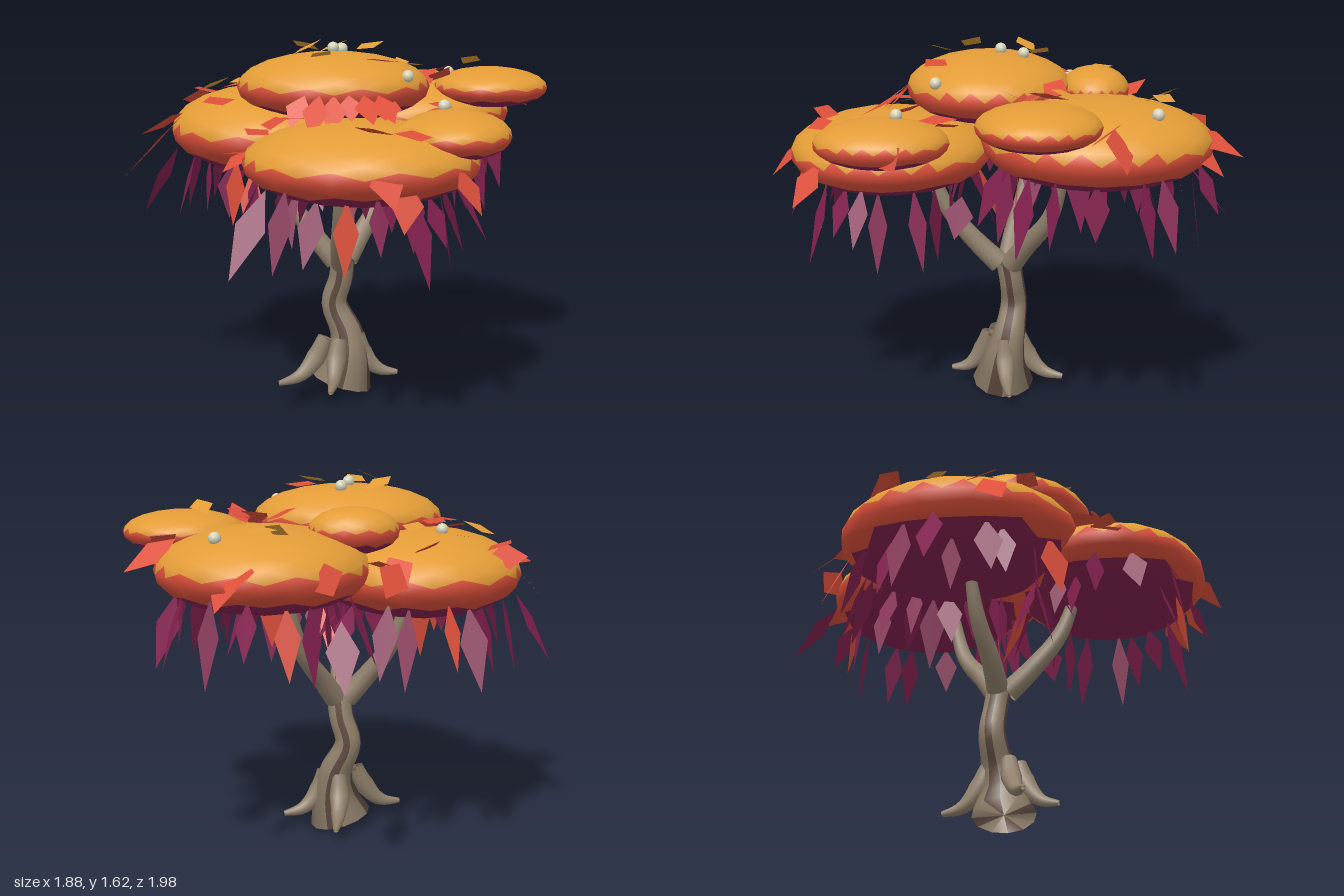
import * as THREE from 'three';

const mat = (name, color, side = THREE.FrontSide) => {
  const m = new THREE.MeshStandardMaterial({ color, side });
  m.name = name;
  return m;
};

// Small seeded random generator
let seed = 7;
const rnd = () => (seed = (seed * 16807) % 2147483647) / 2147483647;
const span = (a, b) => a + (b - a) * rnd();
const V = (x, y, z) => new THREE.Vector3(x, y, z);

// Foliage clumps: name, centre, radii
const clumps = [
  ['crownClump', [-0.03, 1.41, 0.06], [0.42, 0.15, 0.36]],
  ['leftClump', [-0.31, 1.2, -0.16], [0.45, 0.19, 0.53]],
  ['frontClump', [0.08, 1.15, 0.48], [0.49, 0.17, 0.44]],
  ['frontSideClump', [0.46, 1.26, 0.48], [0.23, 0.1, 0.28]],
  ['backClump', [0.35, 1.25, -0.4], [0.45, 0.18, 0.48]],
  ['sideClump', [0.68, 1.38, -0.16], [0.26, 0.09, 0.25]],
  ['smallBackClump', [-0.02, 1.4, -0.4], [0.19, 0.1, 0.15]],
].map(([name, c, r]) => ({ name, c: V(...c), r: V(...r) }));

// Height of the canopy top at x, z
function topAt(x, z) {
  let y = 1.15;
  for (const { c, r } of clumps) {
    const k = 1 - ((x - c.x) / r.x) ** 2 - ((z - c.z) / r.z) ** 2;
    if (k > 0) y = Math.max(y, c.y + r.y * Math.sqrt(k));
  }
  return y;
}

// Unit ball whose faces are sorted into three colour bands by height
function bandedBall() {
  const geo = new THREE.IcosahedronGeometry(1, 3);
  const p = geo.attributes.position;
  const bands = [[], [], []];
  for (let i = 0; i < p.count; i += 3) {
    const y = (p.getY(i) + p.getY(i + 1) + p.getY(i + 2)) / 3;
    bands[y > 0.12 ? 0 : y > -0.52 ? 1 : 2].push(i, i + 1, i + 2);
  }
  geo.setIndex(bands.flat());
  let start = 0;
  bands.forEach((b, k) => {
    geo.addGroup(start, b.length, k);
    start += b.length;
  });
  return geo;
}

// Tapered tube with closed ends; radii are spread evenly along the path
function limb(points, radii, segs = 14, sides = 10) {
  const curve = new THREE.CatmullRomCurve3(points.map((p) => V(...p)));
  const geo = new THREE.TubeGeometry(curve, segs, 1, sides);
  const pos = geo.attributes.position;
  const nor = geo.attributes.normal;
  for (let i = 0; i <= segs; i++) {
    const end = i === 0 || i === segs;
    const u = Math.min(Math.max(i, 1), segs - 1);
    const t = ((u - 1) / (segs - 2)) * (radii.length - 1);
    const k = Math.min(Math.floor(t), radii.length - 2);
    const r = end ? 0.0005 : THREE.MathUtils.lerp(radii[k], radii[k + 1], t - k);
    const c = curve.getPointAt(u / segs);
    for (let j = 0; j <= sides; j++) {
      const n = i * (sides + 1) + j;
      pos.setXYZ(n, c.x + nor.getX(n) * r, c.y + nor.getY(n) * r, c.z + nor.getZ(n) * r);
    }
  }
  return geo;
}

export function createModel() {
  const group = new THREE.Group();
  const gold = mat('gold foliage', 0xe39c37);
  const red = mat('red foliage', 0xdc4f3a);
  const plum = mat('plum foliage', 0x84214f);
  const bark = mat('bark', 0x91816c);
  const darkBark = mat('dark bark', 0x604b40);
  const cream = mat('cream berry', 0xd6d3b8);
  const add = (name, geo, material) => {
    const mesh = new THREE.Mesh(geo, material);
    mesh.name = name;
    group.add(mesh);
    return mesh;
  };

  // Trunk with four dark stripes
  const sides = 12;
  const trunk = limb(
    [[0.0, 0.01, 0], [0.035, 0.15, -0.01], [0.03, 0.26, -0.03], [-0.025, 0.4, -0.05], [0.005, 0.52, -0.04], [0.015, 0.64, -0.02]],
    [0.14, 0.105, 0.08, 0.065, 0.058, 0.055, 0.055], 24, sides);
  const index = Array.from(trunk.index.array);
  const plain = [], stripe = [];
  for (let q = 0; q < index.length; q += 6) {
    (((q / 6) % sides) % 3 === 0 ? stripe : plain).push(...index.slice(q, q + 6));
  }
  trunk.setIndex([...plain, ...stripe]);
  trunk.addGroup(0, plain.length, 0);
  trunk.addGroup(plain.length, stripe.length, 1);
  add('trunk', trunk, [bark, darkBark]);

  // Branches
  for (const [x, y, z] of [[-0.29, 1.1, -0.12], [0.26, 1.15, -0.28], [0, 1.1, 0.34]]) {
    add('branch', limb(
      [[0.01, 0.57, -0.02], [x * 0.35, 0.7, z * 0.35], [x * 0.75, 0.87, z * 0.75], [x, y, z]],
      [0.05, 0.042, 0.035, 0.025]), bark);
  }

  // Roots
  for (const [x, z] of [[0.29, -0.04], [-0.05, 0.26], [-0.3, 0.12], [0.05, -0.3]]) {
    add('root', limb(
      [[x * 0.22 + 0.01, 0.28, z * 0.22], [x * 0.38, 0.16, z * 0.38], [x * 0.62, 0.085, z * 0.62], [x, 0.06, z]],
      [0.035, 0.045, 0.03, 0.012]), bark);
  }

  // Foliage clumps
  const ball = bandedBall();
  for (const { name, c, r } of clumps) {
    const mesh = add(name, ball, [gold, red, plum]);
    mesh.position.copy(c);
    mesh.scale.copy(r);
  }

  // Leaves: flat kites collected per colour
  const kites = { gold: [], red: [], plum: [] };
  function leaf(colour, base, tip, width, face) {
    const d = tip.clone().sub(base);
    const w = d.clone().cross(face).normalize().multiplyScalar(width / 2);
    const mid = base.clone().addScaledVector(d, 0.42);
    const l = mid.clone().sub(w), r = mid.clone().add(w);
    for (const p of [base, r, tip, base, tip, l]) kites[colour].push(p.x, p.y, p.z);
  }
  const outward = (p) => V(p.x + span(-0.3, 0.3), 0.5, p.z + span(-0.3, 0.3));

  // Small tilted leaves lying on the canopy, given as x, z
  const scatter = (colour, spots, length, width) => {
    for (const [x, z] of spots) {
      const a = span(0, Math.PI * 2);
      const d = V(Math.cos(a), span(-0.4, 0.5), Math.sin(a)).multiplyScalar(length / 2);
      const c = V(x, topAt(x, z) + 0.035, z);
      leaf(colour, c.clone().sub(d), c.clone().add(d), width, V(span(-0.4, 0.4), 1, span(-0.4, 0.4)));
    }
  };
  scatter('gold', [[-0.57, -0.22], [-0.47, -0.45], [-0.2, -0.42], [-0.27, -0.36], [0.6, -0.27], [-0.03, -0.16],
    [0.13, 0.03], [-0.14, 0.14], [-0.08, 0.27], [0.28, 0.65], [0.3, -0.66], [0.36, -0.67], [-0.15, -0.1]], 0.14, 0.1);
  scatter('red', [[-0.3, -0.58], [-0.45, -0.03], [-0.38, -0.23], [-0.52, 0.16], [-0.35, 0.38], [-0.42, 0.48],
    [-0.2, 0.45], [0.2, 0.4], [0.17, 0.28], [0.12, 0.76], [0.27, 0.76], [0.38, -0.12], [0.45, -0.2], [0.28, -0.22],
    [0.42, 0.25], [-0.62, -0.42], [-0.12, -0.62], [0.75, -0.42], [0.45, -0.08], [-0.28, 0.42], [0.4, 0.22]], 0.16, 0.11);

  // Upright fan of red leaves at the front of the crown
  for (let i = 0; i < 6; i++) {
    const x = -0.15 + i * 0.06;
    leaf('red', V(x, 1.41, 0.41), V(x * 1.4, span(1.26, 1.32), span(0.5, 0.6)), 0.11, V(0, 1, 0.5));
  }

  // Rim leaves: base then tip
  const rim = (colour, width, list) => {
    for (const n of list) {
      const base = V(n[0], n[1], n[2]);
      leaf(colour, base, V(n[3], n[4], n[5]), width, outward(base));
    }
  };
  rim('red', 0.14, [
    [-0.7, 1.27, 0.0, -0.94, 1.02, 0.11], [-0.68, 1.28, -0.06, -0.87, 1.2, 0.08], [-0.58, 1.3, -0.45, -0.74, 1.29, -0.43],
    [-0.18, 1.3, -0.66, -0.1, 1.2, -0.9], [-0.14, 1.32, -0.62, -0.2, 1.22, -0.76], [0.06, 1.3, -0.88, 0.18, 1.22, -0.8],
    [0.42, 1.33, -0.76, 0.49, 1.22, -0.98], [0.47, 1.3, -0.75, 0.54, 1.15, -0.9], [0.7, 1.38, -0.45, 0.91, 1.25, -0.49],
    [0.14, 1.2, 0.86, 0.19, 1.05, 0.99], [0.25, 1.13, 0.82, 0.23, 0.94, 0.9], [0.45, 1.17, 0.74, 0.53, 1.0, 0.84],
    [-0.35, 1.2, 0.42, -0.48, 1.12, 0.56], [-0.44, 1.12, 0.25, -0.46, 0.84, 0.3], [0.63, 1.28, 0.45, 0.69, 1.2, 0.4],
  ]);
  rim('plum', 0.13, [
    [-0.74, 1.1, -0.2, -0.9, 0.8, -0.2], [0.06, 1.1, -0.8, 0.06, 0.85, -0.99], [-0.3, 1.08, 0.72, -0.44, 0.75, 0.86],
    [0.5, 1.05, 0.15, 0.55, 0.88, 0.18],
  ]);

  // Hanging leaves under the three large clumps
  for (const { c, r } of [clumps[1], clumps[2], clumps[4]]) {
    for (let i = 0; i < 18; i++) {
      const a = (i / 18) * Math.PI * 2 + span(-0.12, 0.12);
      const k = span(0.62, 0.9);
      const dx = Math.cos(a), dz = Math.sin(a);
      const base = V(c.x + dx * r.x * k, c.y - r.y * Math.sqrt(1 - k * k) + 0.02, c.z + dz * r.z * k);
      const out = span(0.02, 0.13);
      const tip = base.clone().add(V(dx * out, -span(0.2, 0.36), dz * out));
      leaf(i % 8 === 5 ? 'red' : 'plum', base, tip, span(0.08, 0.12), V(dx + span(-0.6, 0.6), 0.3, dz + span(-0.6, 0.6)));
    }
  }
  const leafMats = {
    gold: mat('gold leaf', 0xe39c37, THREE.DoubleSide),
    red: mat('red leaf', 0xdc4f3a, THREE.DoubleSide),
    plum: mat('plum leaf', 0x84214f, THREE.DoubleSide),
  };
  for (const colour in kites) {
    const geo = new THREE.BufferGeometry();
    geo.setAttribute('position', new THREE.Float32BufferAttribute(kites[colour], 3));
    geo.computeVertexNormals();
    add(colour + 'Leaves', geo, leafMats[colour]);
  }

  // Berries
  const berry = new THREE.SphereGeometry(0.026, 10, 8);
  for (const [x, z] of [[0.01, -0.09], [-0.03, 0.01], [0.54, -0.63], [0.42, 0.42], [0.28, 0.27], [-0.4, -0.3]]) {
    add('berry', berry, cream).position.set(x, topAt(x, z) + 0.012, z);
  }
  return group;
}
